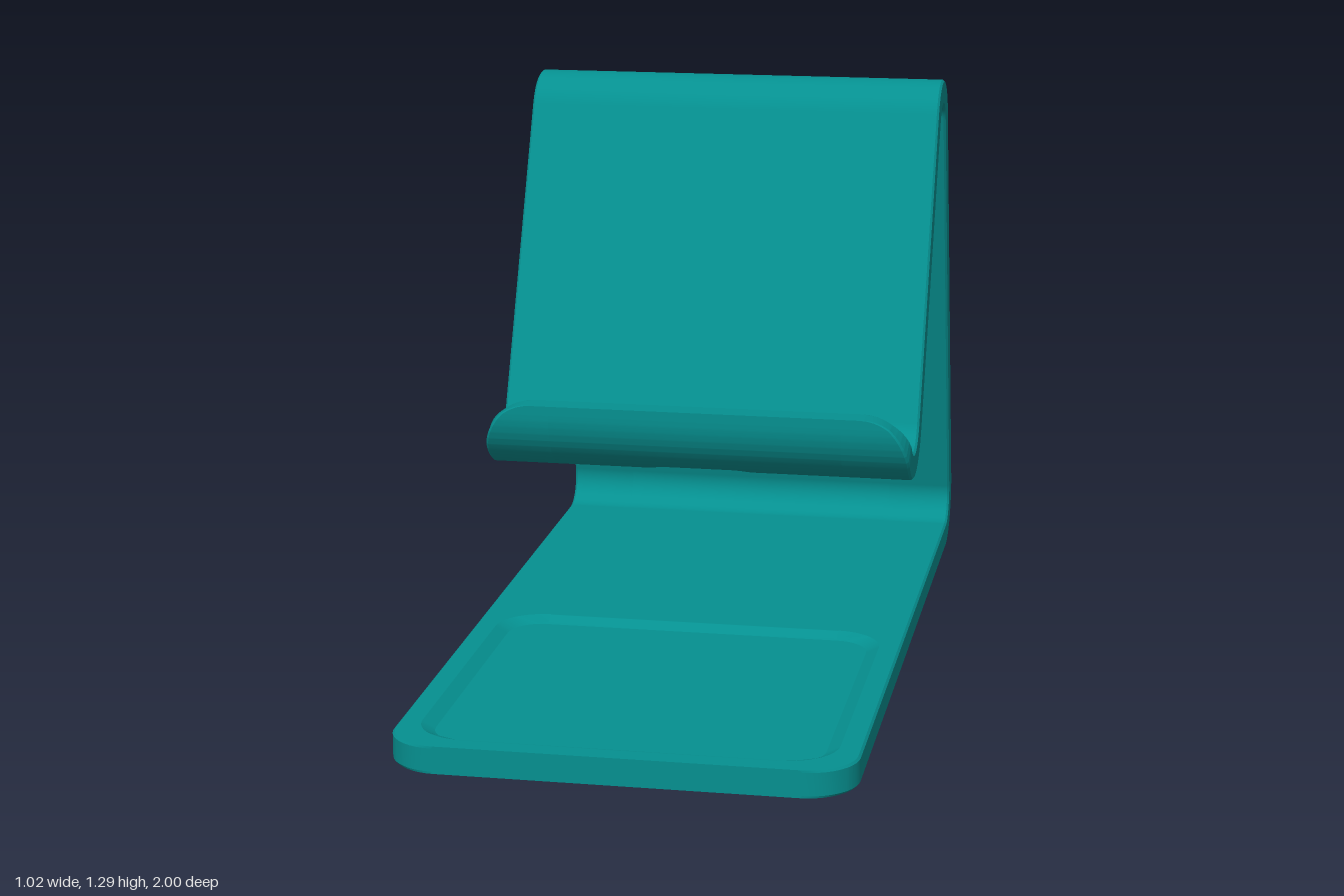
import * as THREE from 'three';

const T = 0.062;      // sheet thickness
const W = 0.51;       // half width
const BEVEL = 0.005;  // small chamfer along the long edges
const rad = THREE.MathUtils.degToRad;

// Centreline of the bent sheet, drawn in (z, y)
function makePath() {
  const p = new THREE.Path();
  p.moveTo(1, 0.031);
  p.lineTo(-0.87, 0.031);
  p.absarc(-0.87, 0.13, 0.099, rad(-90), rad(-195.4), true);    // rear bend
  p.absarc(-0.595, 1.165, 0.09, rad(164.6), rad(25.3), true);   // top bend
  p.absarc(-0.075, 0.557, 0.12, rad(205.3), rad(360), false);   // cradle
  p.lineTo(0.045, 0.58);
  return p;
}

// Half width at s of a rounded rectangle spanning a..b along the sheet
function roundedHalf(s, { a, b, hx, r }) {
  const d = THREE.MathUtils.clamp(r - Math.min(s - a, b - s), 0, r);
  return hx - r + Math.sqrt(r * r - d * d);
}

export function createModel() {
  const group = new THREE.Group();
  const material = new THREE.MeshStandardMaterial({ color: 0x059090 });
  const path = makePath();
  const lengths = path.getCurveLengths();
  const L = path.getLength();

  // Features in flat sheet coordinates
  const outline = { a: 0, b: L, hx: W, r: 0.11 };
  const trayOuter = { a: 0.05, b: 0.93, hx: 0.46, r: 0.11 };
  const trayInner = { a: 0.08, b: 0.90, hx: 0.43, r: 0.08 };
  const trayDepth = 0.015;
  const slots = [
    { a: 2.16, b: 2.395, hx: 0.2, r: 0.1175 },    // cable opening in the back
    { a: 4.169, b: 4.307, hx: 0.145, r: 0.069 },  // charging slot in the cradle
  ];
  const slotHalf = (s) => {
    const slot = slots.find((o) => s >= o.a && s <= o.b);
    return slot ? roundedHalf(s, slot) : 0;
  };

  // Cut positions along the sheet, denser at rounded corners and bends
  const cuts = [];
  for (const f of [outline, trayOuter, trayInner, ...slots]) {
    for (let k = 0; k <= 10; k++) {
      const d = f.r * (1 - Math.cos((k / 10) * Math.PI / 2));
      cuts.push(f.a + d, f.b - d);
    }
  }
  for (const o of slots) cuts.push(o.a - 1e-5, o.b + 1e-5);
  for (const i of [1, 3, 5]) {
    const steps = 24;
    for (let k = 0; k <= steps; k++) {
      cuts.push(THREE.MathUtils.lerp(lengths[i - 1], lengths[i], k / steps));
    }
  }

  // Right half of the cross-section: [x, offset from the inside face]
  function section(s) {
    const w = roundedHalf(s, outline);
    const h = slotHalf(s);
    const ramp = Math.min(s - trayOuter.a, trayOuter.b - s) / 0.03;
    const depth = trayDepth * THREE.MathUtils.clamp(ramp, 0, 1);
    return [
      [h, depth],
      [roundedHalf(s, trayInner), depth],
      [roundedHalf(s, trayOuter), 0],
      [w - BEVEL, 0],
      [w, BEVEL],
      [w, T - BEVEL],
      [w - BEVEL, T],
      [h, T],
    ];
  }

  // Lofts the sheet between two positions, both mirrored halves
  function sheet(name, from, to) {
    const rows = [from, to, ...cuts.filter((s) => s > from && s < to)]
      .sort((p, q) => p - q)
      .filter((s, i, all) => i === 0 || s - all[i - 1] > 1e-6);
    const positions = [];
    const index = [];
    const tri = (side, a, b, c) => (side > 0 ? index.push(a, b, c) : index.push(a, c, b));

    for (const side of [1, -1]) {
      const rings = rows.map((s) => {
        const t = Math.min(s / L, 1);
        const p = path.getPoint(t);
        const d = path.getTangent(t);
        return section(s).map(([x, o]) => {
          const k = o - T / 2;
          return [side * x, p.y + d.x * k, p.x - d.y * k];
        });
      });
      const n = rings[0].length;

      // One separate strip per section edge keeps the edges crisp
      for (let e = 0; e < n; e++) {
        const base = positions.length / 3;
        for (const ring of rings) positions.push(...ring[e], ...ring[(e + 1) % n]);
        for (let i = 0; i < rows.length - 1; i++) {
          // The centre plane only has a wall where a slot is cut
          if (e === n - 1 && !slotHalf(rows[i]) && !slotHalf(rows[i + 1])) continue;
          const v = base + i * 2;
          tri(side, v, v + 1, v + 3);
          tri(side, v, v + 3, v + 2);
        }
      }

      // Caps on the two free ends
      const cap = (ring, dir) => {
        const base = positions.length / 3;
        for (const v of ring) positions.push(...v);
        for (let i = 1; i < n - 1; i++) tri(side * dir, base, base + i, base + i + 1);
      };
      if (from === 0) cap(rings[0], -1);
      if (to === L) cap(rings[rings.length - 1], 1);
    }

    const geometry = new THREE.BufferGeometry();
    geometry.setAttribute('position', new THREE.Float32BufferAttribute(positions, 3));
    geometry.setIndex(index);
    geometry.computeVertexNormals();
    const mesh = new THREE.Mesh(geometry, material);
    mesh.name = name;
    group.add(mesh);
  }

  sheet('baseWithTray', 0, 1.8);
  sheet('backSupport', 1.8, 3.1);
  sheet('frontRest', 3.1, 3.9);
  sheet('cradleLip', 3.9, L);

  group.name = 'deviceStand';
  return group;
}
